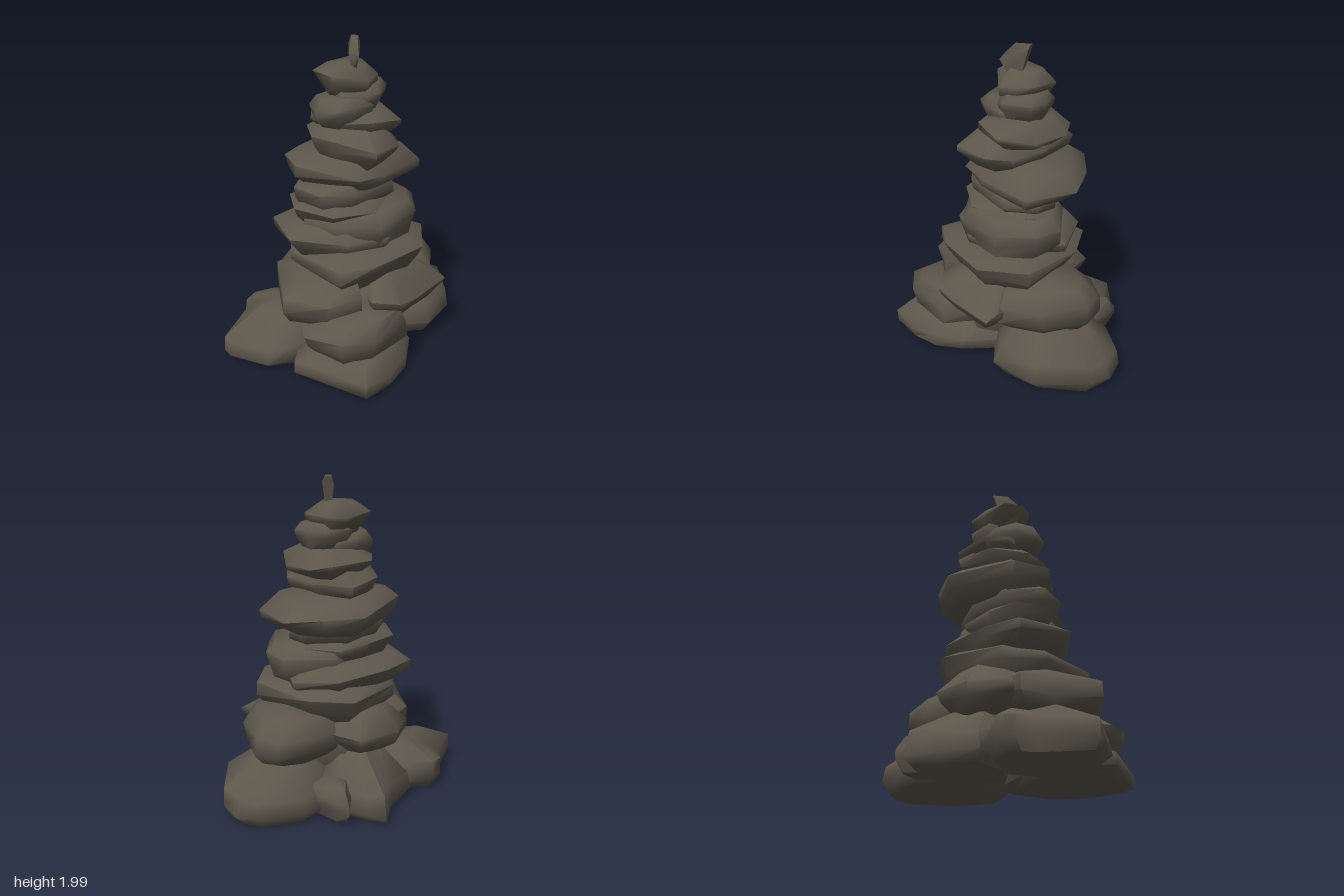
import * as THREE from 'three';
import { toCreasedNormals } from 'three/addons/utils/BufferGeometryUtils.js';

// Ring profiles: [level, outline scale]; level 0.5 is the rim of the stone
const SLAB = [[0, 0.74], [0.36, 0.96], [0.6, 1], [0.95, 0.76]];
const THICK = [[0, 0.84], [0.3, 0.97], [0.66, 1], [0.95, 0.84]];
const TAPER = [[0, 0.64], [0.4, 0.96], [0.58, 1], [0.96, 0.56]];
const BLOCK = [[0, 0.78], [0.25, 0.97], [0.62, 1], [0.96, 0.72]];
const MOUND = [[0, 0.84], [0.32, 1], [0.62, 0.95], [0.96, 0.46]];
const PEAK = [[0, 0.5], [0.5, 1], [1, 0.62]];

function seeded(seed) {
  let s = seed * 7919 + 17;
  return () => (s = (s * 16807) % 2147483647) / 2147483647;
}

// Irregular plan outline for stones without a given one
function roughOutline(rand, n = 8) {
  const pts = [];
  const turn = rand() * 6;
  for (let i = 0; i < n; i++) {
    const a = turn + ((i + (rand() - 0.5) * 0.5) / n) * Math.PI * 2;
    const r = 0.88 + rand() * 0.24;
    pts.push([Math.cos(a) * r, Math.sin(a) * r]);
  }
  return pts;
}

// Rough stone of jittered rings, fitted to its box.
// rims: height of the widest line at the +x, +z, -x and -z sides
// peak: plan position of the top, where it is off centre
function stoneGeometry(x, y, z, rims, seed, profile, outline, peak) {
  const rand = seeded(seed);
  for (let i = 0; i < 5; i++) rand();
  const pts = outline || roughOutline(rand);
  const n = pts.length;
  const mid = [0, 1].map(k => pts.reduce((s, p) => s + p[k], 0) / n);
  const top = peak || mid;
  const rim = pts.map(p => {
    const dx = p[0] - mid[0], dz = p[1] - mid[1];
    const w = dx * dx / (dx * dx + dz * dz);
    return w * rims[dx > 0 ? 0 : 2] + (1 - w) * rims[dz > 0 ? 1 : 3];
  });
  const pos = [mid[0], y[0], mid[1]];
  const index = [];
  profile.forEach(([level, scale]) => {
    const [cx, cz] = level > 0.9 ? top : mid;
    pts.forEach((p, i) => {
      const s = scale === 1 ? 1 : scale * (0.93 + rand() * 0.13);
      const t = THREE.MathUtils.clamp(level + (level ? (rand() - 0.5) * 0.14 : 0), 0, 1);
      const h = t < 0.5
        ? THREE.MathUtils.lerp(y[0], rim[i], t * 2)
        : THREE.MathUtils.lerp(rim[i], y[1], t * 2 - 1);
      pos.push(cx + (p[0] - mid[0]) * s, h, cz + (p[1] - mid[1]) * s);
    });
  });
  pos.push(top[0], y[1], top[1]);
  const last = pos.length / 3 - 1;
  for (let i = 0; i < n; i++) {
    const j = (i + 1) % n;
    index.push(0, 1 + i, 1 + j);
    for (let r = 0; r < profile.length - 1; r++) {
      const a = 1 + r * n + i, b = 1 + r * n + j;
      index.push(a, a + n, b, b, a + n, b + n);
    }
    index.push(last, last - n + j, last - n + i);
  }
  const geo = new THREE.BufferGeometry();
  geo.setAttribute('position', new THREE.Float32BufferAttribute(pos, 3));
  geo.setIndex(index);
  geo.computeBoundingBox();
  const { min, max } = geo.boundingBox;
  const p = geo.attributes.position;
  for (let i = 0; i < p.count; i++) {
    p.setX(i, THREE.MathUtils.mapLinear(p.getX(i), min.x, max.x, ...x));
    p.setZ(i, THREE.MathUtils.mapLinear(p.getZ(i), min.z, max.z, ...z));
  }
  return toCreasedNormals(geo, 1.15);
}

export function createModel() {
  const group = new THREE.Group();
  const rock = new THREE.MeshStandardMaterial({ color: 0x5c564b });
  rock.name = 'dark rock';

  const add = (name, ...shape) => {
    const mesh = new THREE.Mesh(stoneGeometry(...shape), rock);
    mesh.name = name;
    group.add(mesh);
  };

  // Ground stones, spread around the foot
  add('frontBaseStone', [-0.51, 0.16], [0.01, 0.31], [0.08, 0.84], [0.09, 0.11, 0.16, 0.18], 1, MOUND,
    [[0.16, 0.5], [0.1, 0.69], [-0.14, 0.83], [-0.18, 0.84], [-0.38, 0.58], [-0.47, 0.52], [-0.51, 0.43], [-0.42, 0.24], [-0.15, 0.08], [0.1, 0.2]],
    [-0.2, 0.4]);
  add('backBaseStone', [-0.43, 0.35], [0.01, 0.36], [-0.84, -0.08], [0.15, 0.15, 0.14, 0.12], 2, MOUND,
    [[0.35, -0.4], [0.2, -0.12], [-0.15, -0.08], [-0.4, -0.25], [-0.43, -0.48], [-0.35, -0.75], [-0.24, -0.83], [-0.08, -0.84], [0.22, -0.68]],
    [-0.06, -0.42]);
  add('rightBaseStone', [-0.71, 0], [0.01, 0.38], [-0.28, 0.27], [0.2, 0.13, 0.09, 0.15], 3, MOUND,
    [[0, 0.05], [-0.2, 0.24], [-0.48, 0.27], [-0.58, 0.05], [-0.71, -0.09], [-0.62, -0.17], [-0.4, -0.28], [-0.1, -0.2]],
    [-0.27, 0]);
  add('leftBaseStone', [0, 0.71], [0.01, 0.21], [-0.26, 0.59], [0.07, 0.1, 0.1, 0.1], 4, BLOCK,
    [[0.71, 0.37], [0.26, 0.59], [0.06, 0.42], [0, 0.1], [0.16, -0.26], [0.45, -0.16], [0.58, -0.02], [0.67, 0.16]]);
  add('backRightWedgeStone', [-0.61, -0.1], [0.03, 0.24], [-0.42, -0.05], [0.16, 0.15, 0.14, 0.15], 6, SLAB,
    [[-0.1, -0.2], [-0.25, -0.05], [-0.5, -0.2], [-0.61, -0.29], [-0.56, -0.34], [-0.3, -0.42]]);

  // Second course
  add('leftShoulderStone', [0.04, 0.63], [0.18, 0.44], [-0.17, 0.54], [0.32, 0.29, 0.3, 0.32], 7, BLOCK,
    [[0.63, 0.25], [0.55, 0.44], [0.3, 0.54], [0.1, 0.45], [0.04, 0.1], [0.25, -0.17], [0.54, -0.05]],
    [0.36, 0.16]);
  add('backLeftShoulderStone', [0, 0.54], [0.34, 0.62], [-0.46, 0.14], [0.43, 0.46, 0.46, 0.46], 5, TAPER,
    [[0.54, 0], [0.45, 0.14], [0.1, 0.08], [0, -0.2], [0.2, -0.42], [0.34, -0.45], [0.42, -0.46], [0.49, -0.17]],
    [0.2, -0.15]);
  add('backShoulderStone', [-0.34, 0.32], [0.33, 0.63], [-0.66, -0.05], [0.45, 0.45, 0.46, 0.45], 8, BLOCK,
    [[0.32, -0.42], [0.28, -0.1], [0, -0.05], [-0.3, -0.1], [-0.34, -0.4], [-0.3, -0.58], [-0.16, -0.66], [0.12, -0.6]]);
  add('frontShoulderStone', [-0.34, 0.42], [0.35, 0.61], [-0.02, 0.6], [0.47, 0.5, 0.48, 0.5], 9, BLOCK,
    [[0.42, 0.2], [0.38, 0.42], [0.16, 0.6], [-0.1, 0.47], [-0.29, 0.38], [-0.34, 0.12], [0, -0.02]],
    [0.04, 0.25]);
  add('rightShoulderStone', [-0.48, 0.05], [0.34, 0.62], [-0.24, 0.34], [0.45, 0.45, 0.43, 0.45], 10, TAPER);
  add('innerFillStone', [-0.34, 0.4], [0.14, 0.62], [-0.34, 0.34], [0.4, 0.4, 0.4, 0.4], 11, BLOCK);

  // Stacked slabs: x, y and z ranges, rim heights, profile
  const slabs = [
    [[-0.43, 0.44], [0.52, 0.78], [-0.48, 0.4], [0.71, 0.68, 0.68, 0.73], SLAB],
    [[-0.36, 0.34], [0.71, 0.91], [-0.39, 0.47], [0.8, 0.83, 0.81, 0.8], SLAB],
    [[-0.26, 0.36], [0.78, 1.01], [-0.44, 0.35], [0.87, 0.92, 0.92, 0.93], THICK],
    [[-0.26, 0.29], [0.88, 1.05], [-0.36, 0.4], [0.98, 1, 0.98, 0.98], SLAB],
    [[-0.26, 0.24], [1.01, 1.17], [-0.32, 0.37], [1.1, 1.1, 1.1, 1.06], THICK],
    [[-0.45, 0.28], [1.1, 1.32], [-0.46, 0.38], [1.18, 1.26, 1.2, 1.18], SLAB],
    [[-0.35, 0.36], [1.26, 1.52], [-0.25, 0.24], [1.38, 1.41, 1.37, 1.36], TAPER],
    [[-0.29, 0.24], [1.42, 1.59], [-0.32, 0.17], [1.53, 1.52, 1.51, 1.47], TAPER],
    [[-0.18, 0.17], [1.5, 1.67], [-0.16, 0.25], [1.61, 1.57, 1.63, 1.6], SLAB],
    [[-0.18, 0.15], [1.58, 1.74], [-0.26, 0.1], [1.66, 1.65, 1.69, 1.69], SLAB],
    [[-0.21, 0.13], [1.67, 1.86], [-0.2, 0.18], [1.72, 1.81, 1.77, 1.78], TAPER],
  ];
  slabs.forEach(([x, y, z, rims, profile], i) => add(`stackedStone${i + 1}`, x, y, z, rims, 21 + i, profile));

  // Thin leaning stone on the summit
  add('summitStone', [-0.08, 0.1], [1.82, 2], [-0.1, 0.04], [1.92, 1.93, 1.97, 1.96], 40, PEAK,
    [[0.1, 0], [0.05, 0.04], [-0.08, -0.05], [-0.03, -0.1]],
    [-0.025, -0.055]);

  return group;
}
